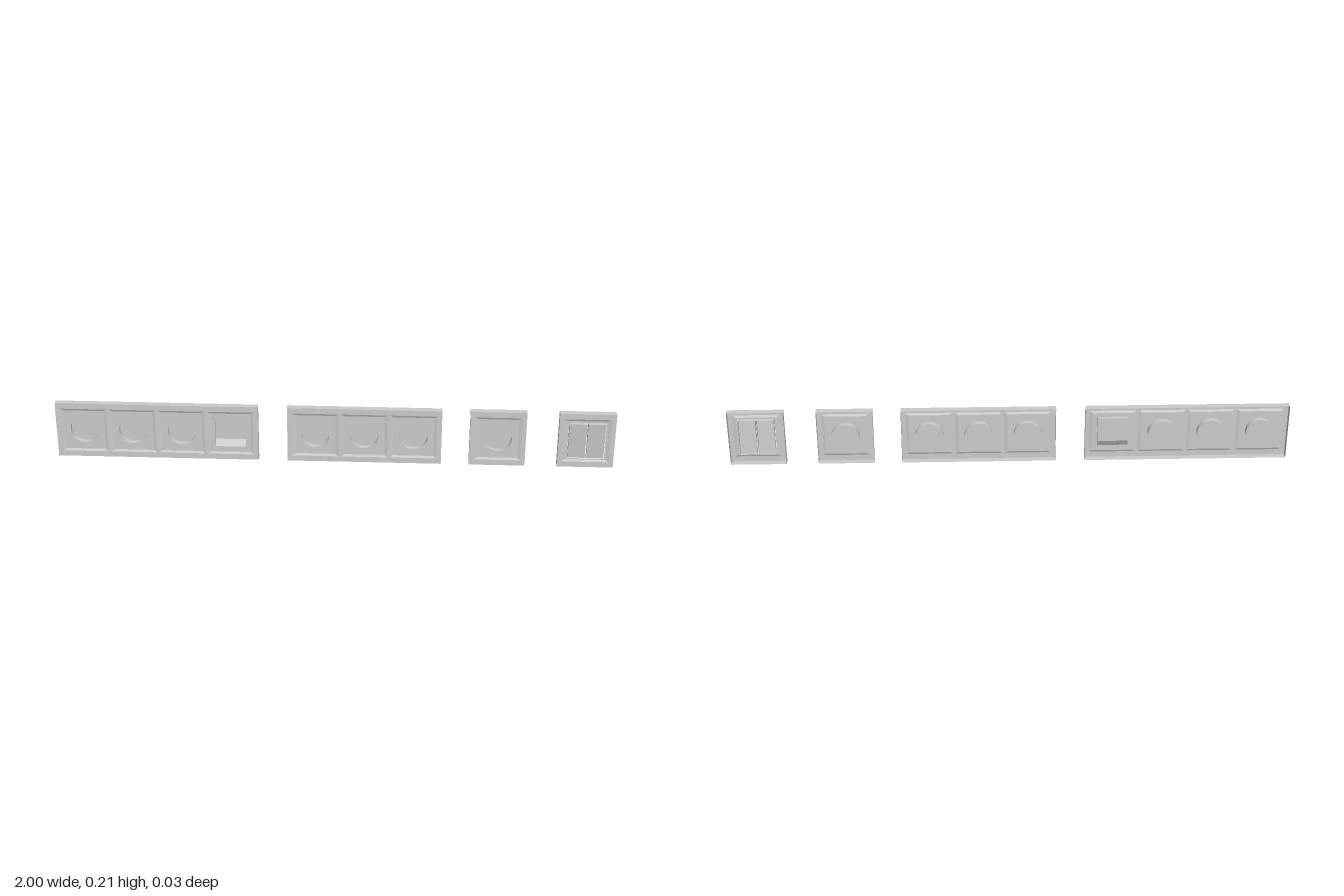
import * as THREE from 'three';

const material = new THREE.MeshStandardMaterial({ color: 0xcccccc, side: THREE.DoubleSide });
const H = 0.21, MID = 0.105;
const FRONT = 0.008, BACK = -0.016, FLOOR = 0.0045;
const CUP_R = 0.05, PITCH = 0.176;

const rect = (x0, y0, x1, y1) => [[x0, y0], [x1, y0], [x1, y1], [x0, y1]].map(([x, y]) => new THREE.Vector2(x, y));
const boxAround = (cx, hw, hh) => rect(cx - hw, MID - hh, cx + hw, MID + hh);

function add(group, name, geometry) {
  const mesh = new THREE.Mesh(geometry, material);
  mesh.name = name;
  group.add(mesh);
  return mesh;
}

// flat sheet at depth z, with optional holes
function sheet(outline, holes, z) {
  const shape = new THREE.Shape(outline);
  holes.forEach(h => shape.holes.push(h instanceof THREE.Path ? h : new THREE.Path(h)));
  return new THREE.ShapeGeometry(shape, 24).translate(0, 0, z);
}

// four-sided wall running from outline a (depth za) to outline b (depth zb)
function wall(a, za, b, zb) {
  const pos = [];
  a.forEach((p, i) => {
    const j = (i + 1) % a.length, za2 = [].concat(za), zb2 = [].concat(zb);
    const A = [p.x, p.y, za2[i % za2.length]], B = [a[j].x, a[j].y, za2[j % za2.length]];
    const C = [b[j].x, b[j].y, zb2[j % zb2.length]], D = [b[i].x, b[i].y, zb2[i % zb2.length]];
    pos.push(...A, ...C, ...B, ...A, ...D, ...C);
  });
  const g = new THREE.BufferGeometry();
  g.setAttribute('position', new THREE.Float32BufferAttribute(pos, 3));
  g.computeVertexNormals();
  return g;
}

// round socket cup
function socket(group, cx) {
  const depth = FLOOR - BACK - 0.001;
  const cup = new THREE.CylinderGeometry(CUP_R, CUP_R, depth, 48, 1, true).rotateX(Math.PI / 2);
  add(group, 'socketWall', cup).position.set(cx, MID, FLOOR - depth / 2);
  add(group, 'socketFloor', new THREE.CircleGeometry(CUP_R, 48)).position.set(cx, MID, FLOOR - depth);
  const hole = new THREE.Path();
  hole.absarc(cx, MID, CUP_R, 0, Math.PI * 2, true);
  return [hole];
}

// square pocket with a sloping lower side
function pocket(group, cx) {
  const mouth = rect(cx - 0.055, 0.05, cx + 0.055, 0.166);
  const base = rect(cx - 0.055, 0.074, cx + 0.055, 0.166);
  add(group, 'pocketWall', wall(mouth, FLOOR, base, -0.008));
  add(group, 'pocketFloor', sheet(base, [], -0.008));
  return [mouth];
}

// pair of tilted rocker keys standing in one opening
function rockers(group, cx) {
  const y0 = 0.035, y1 = 0.173, zs = [FLOOR, FLOOR, 0.016, 0.016];
  for (const side of [-1, 1]) {
    const a = cx + side * 0.002, b = cx + side * 0.064;
    const key = rect(Math.min(a, b), y0, Math.max(a, b), y1);
    add(group, 'rockerSides', wall(key, zs, key, -0.006));
    const face = sheet(key, [], 0);
    const p = face.attributes.position;
    for (let i = 0; i < p.count; i++) p.setZ(i, p.getY(i) > MID ? 0.016 : FLOOR);
    face.computeVertexNormals();
    add(group, 'rockerFace', face);
  }
  return [rect(cx - 0.066, y0 - 0.002, cx + 0.066, y1 + 0.002)];
}

// thin cover plate, open at the back, one shallow recess per insert
function coverPlate(name, x0, x1, firstX, inserts) {
  const group = new THREE.Group();
  group.name = name;
  const outline = rect(x0, 0, x1, H);
  const recesses = inserts.map((insert, i) => {
    const cx = firstX + i * PITCH;
    const outer = boxAround(cx, 0.083, 0.084), inner = boxAround(cx, 0.073, 0.076);
    add(group, 'recessSlope', wall(outer, FRONT, inner, FLOOR));
    add(group, 'recessFloor', sheet(inner, insert(group, cx), FLOOR));
    return outer;
  });
  add(group, 'plateFace', sheet(outline, recesses, FRONT));
  add(group, 'plateRim', wall(outline, BACK, outline, FRONT));
  return group;
}

export function createModel() {
  const model = new THREE.Group();
  model.name = 'wallPlates';
  model.add(
    coverPlate('fourGangPlate', -1, -0.272, -0.9, [socket, socket, socket, pocket]),
    coverPlate('threeGangPlate', -0.167, 0.385, -0.067, [socket, socket, socket]),
    coverPlate('singleSocketPlate', 0.485, 0.685, 0.585, [socket]),
    coverPlate('switchPlate', 0.8, 1, 0.9, [rockers])
  );
  return model;
}
